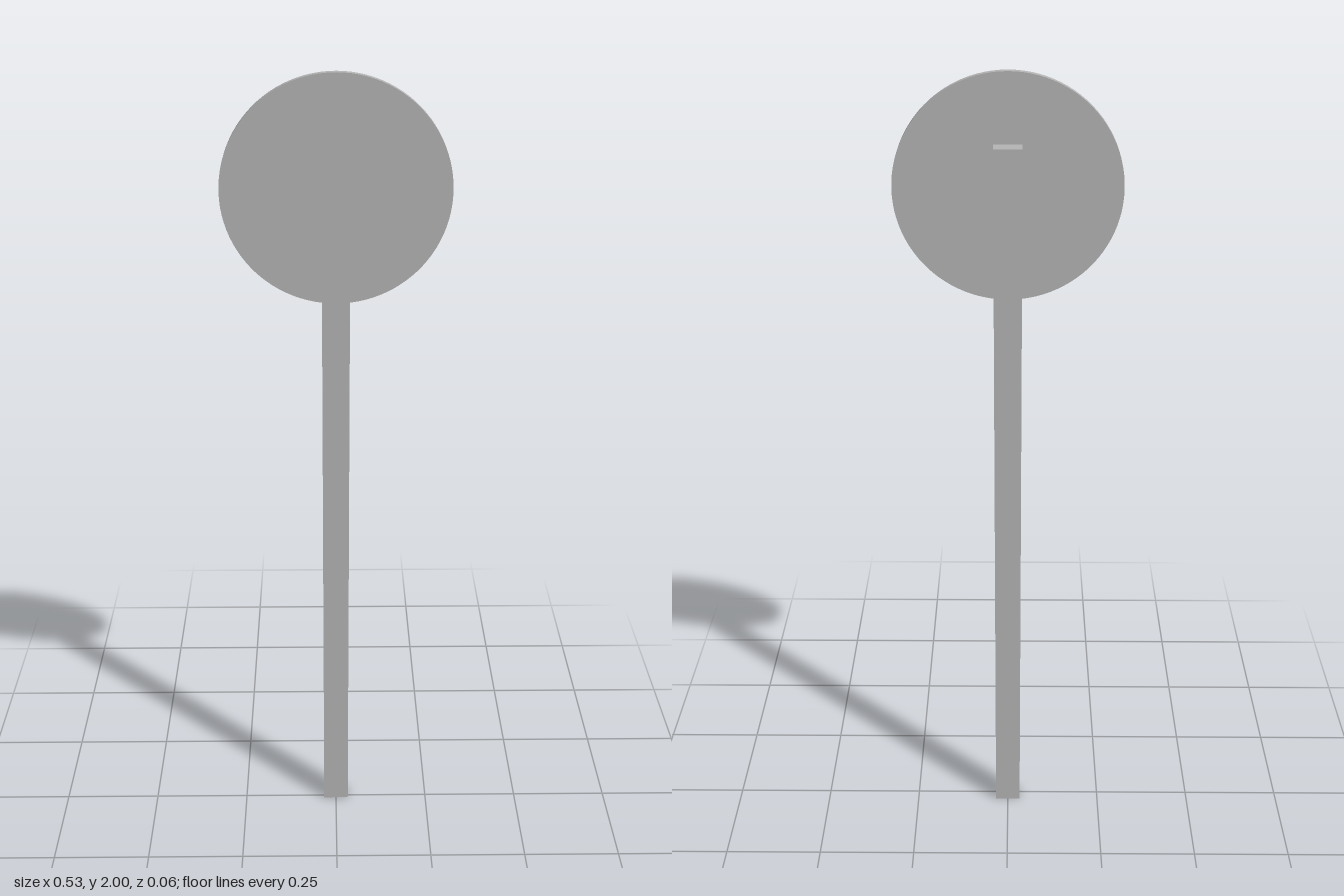
import * as THREE from 'three';

export function createModel() {
  const group = new THREE.Group();
  group.name = 'roundSignOnPost';
  const grey = new THREE.MeshStandardMaterial({ color: 0xb2b2b2 });
  grey.name = 'grey';

  // Rectangular post standing on the ground
  const postHeight = 1.839;
  const post = new THREE.Mesh(new THREE.BoxGeometry(0.066, postHeight, 0.04), grey);
  post.name = 'post';
  post.position.set(0, postHeight / 2, -0.01);
  group.add(post);

  // Thin round plate held just in front of the post
  const radius = 0.265;
  const disc = new THREE.Mesh(new THREE.CylinderGeometry(radius, radius, 0.017, 96), grey);
  disc.name = 'signDisc';
  disc.rotation.x = Math.PI / 2;
  disc.position.set(0, 2 - radius, 0.0215);
  group.add(disc);

  return group;
}
